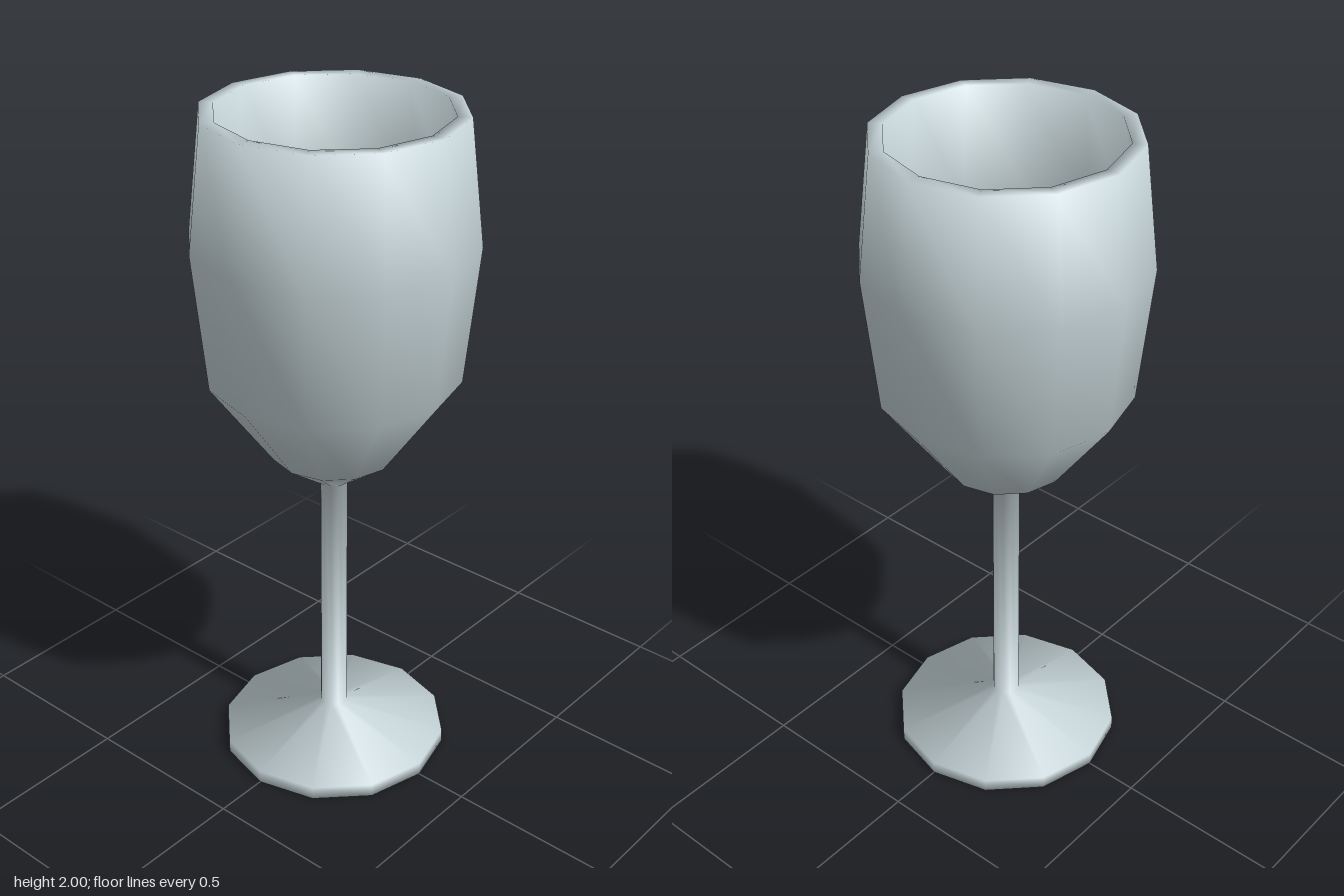
import * as THREE from 'three';

const SIDES = 12;

// Revolve an outline of [radius, height] pairs around the y axis,
// with each ring's normal midway between the two faces that meet there
function turned(name, outline, material) {
  const points = outline.map(([r, y]) => new THREE.Vector2(r, y));
  const geometry = new THREE.LatheGeometry(points, SIDES);

  const faces = points.slice(1).map((p, i) =>
    new THREE.Vector2(p.y - points[i].y, points[i].x - p.x).normalize());
  const rings = points.map((p, i) => {
    if (p.x === 0) return new THREE.Vector2(0, Math.sign((faces[i] ?? faces[i - 1]).y));
    return faces[i - 1].clone().add(faces[i]).normalize();
  });
  const normal = geometry.attributes.normal;
  for (let k = 0; k < normal.count; k++) {
    const angle = Math.floor(k / points.length) / SIDES * Math.PI * 2;
    const n = rings[k % points.length];
    normal.setXYZ(k, n.x * Math.sin(angle), n.y, n.x * Math.cos(angle));
  }

  const mesh = new THREE.Mesh(geometry, material);
  mesh.name = name;
  return mesh;
}

export function createModel() {
  const glass = new THREE.MeshStandardMaterial({ color: 0xc2d0d4 });
  glass.name = 'pale grey glass';
  const amber = new THREE.MeshStandardMaterial({ color: 0xd2a64a });
  amber.name = 'amber drink';

  const goblet = new THREE.Group();
  goblet.name = 'wineGlass';

  // Foot, stem, outer bowl, rim and inner bowl as one smooth surface
  goblet.add(turned('glassBody', [
    [0, 0], [0.34, 0], [0.34, 0.04],                      // foot
    [0.04, 0.12], [0.04, 0.9],                            // stem
    [0.18, 1.0], [0.36, 1.25], [0.4, 1.65], [0.36, 2],    // outer bowl
    [0.32, 2], [0.36, 1.65], [0.32, 1.25], [0.15, 1.03], [0, 0.96], // rim, inner bowl
  ], glass));

  // Drink filling the bowl
  goblet.add(turned('drink', [
    [0, 0.97], [0.145, 1.04], [0.317, 1.255], [0.353, 1.6], [0, 1.6],
  ], amber));

  return goblet;
}
